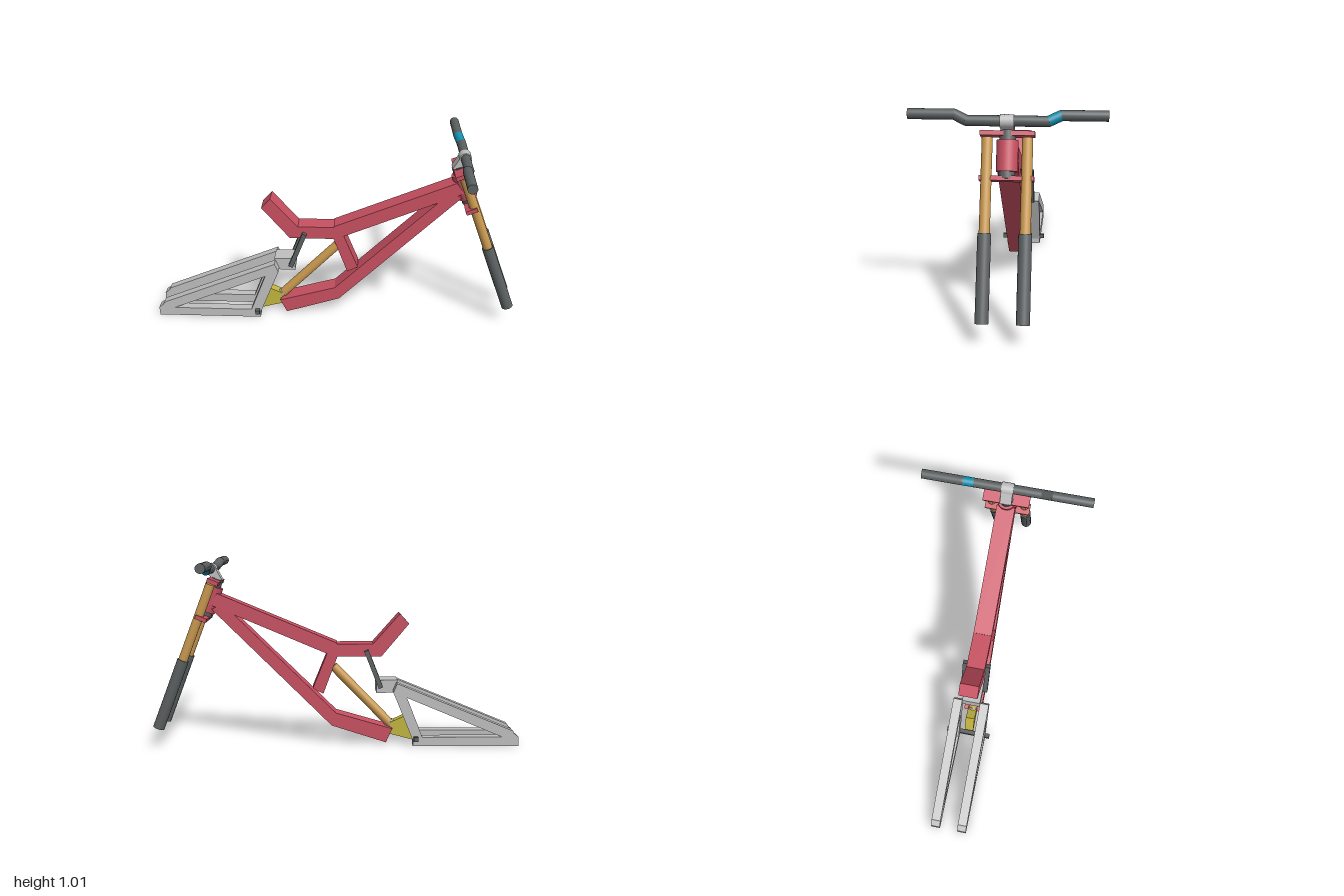
import * as THREE from 'three';

const paint = (name, color) => {
  const m = new THREE.MeshStandardMaterial({ color });
  m.name = name;
  return m;
};

export function createModel() {
  const bike = new THREE.Group();
  bike.name = 'bikeFrame';
  const red = paint('red', 0xc85061);
  const silver = paint('silver', 0xbfbfbf);
  const gold = paint('gold', 0xcb9a50);
  const dark = paint('darkGrey', 0x5b6060);
  const teal = paint('teal', 0x0a8caa);
  const yellow = paint('yellow', 0xc2b53f);

  const add = (name, geo, mat) => {
    const mesh = new THREE.Mesh(geo, mat);
    mesh.name = name;
    bike.add(mesh);
    return mesh;
  };

  // Side-view outline extruded across z, centred on zc
  const plate = (name, pts, width, mat, zc = 0) => {
    const shape = new THREE.Shape(pts.map(p => new THREE.Vector2(...p)));
    const geo = new THREE.ExtrudeGeometry(shape, { depth: width, bevelEnabled: false });
    geo.translate(0, 0, zc - width / 2);
    return add(name, geo, mat);
  };

  // Cylinder between two points
  const rod = (name, a, b, r, mat) => {
    const p = new THREE.Vector3(...a), q = new THREE.Vector3(...b);
    const mesh = add(name, new THREE.CylinderGeometry(r, r, p.distanceTo(q), 28), mat);
    mesh.position.copy(p).lerp(q, 0.5);
    mesh.quaternion.setFromUnitVectors(new THREE.Vector3(0, 1, 0), q.sub(p).normalize());
    return mesh;
  };

  // Main frame: square-section tubes
  plate('seatTail', [[-0.395, 0.67], [-0.345, 0.725], [-0.2, 0.56], [0, 0.56], [0.01, 0.49], [-0.245, 0.49]], 0.1, red);
  plate('topTube', [[-0.005, 0.565], [0.64, 0.835], [0.68, 0.775], [0.01, 0.49]], 0.1, red);
  plate('downTube', [[0, 0.175], [0.61, 0.78], [0.67, 0.75], [0.025, 0.105]], 0.1, red);
  plate('bottomTube', [[-0.31, 0.085], [0, 0.175], [0.025, 0.105], [-0.275, 0.008]], 0.1, red);
  plate('seatStrut', [[-0.01, 0.5], [0.045, 0.52], [0.128, 0.315], [0.07, 0.285]], 0.1, red);

  // Steering head, along the tilted axis
  rod('steerer', [0.645, 0.915, 0], [0.717, 0.707, 0], 0.037, dark);
  rod('headTube', [0.659, 0.872, 0], [0.708, 0.737, 0], 0.05, red);
  const tilt = Math.atan2(0.375, 0.927);
  for (const [name, x, y] of [['upperCrown', 0.652, 0.9], ['lowerCrown', 0.718, 0.707]]) {
    const crown = add(name, new THREE.BoxGeometry(0.062, 0.022, 0.25), red);
    crown.position.set(x, y, 0);
    crown.rotation.z = tilt;
  }

  // Paired parts on both sides
  for (const [side, s] of [['left', 1], ['right', -1]]) {
    const z = s * 0.092;
    rod(side + 'ForkTube', [0.667, 0.887, z], [0.825, 0.478, z], 0.025, gold);
    rod(side + 'ForkLower', [0.823, 0.481, z], [0.967, 0.107, z], 0.031, dark);

    const a = s * 0.075;
    plate(side + 'ChainStay', [[-1, 0], [-1, 0.05], [-0.42, 0.05], [-0.42, 0]], 0.05, silver, a);
    plate(side + 'Dropout', [[-1, 0.05], [-0.965, 0.078], [-0.93, 0.05]], 0.05, silver, a);
    plate(side + 'SeatStay', [[-0.985, 0.045], [-0.97, 0.083], [-0.33, 0.35], [-0.31, 0.302], [-0.945, 0.035]], 0.05, silver, a);
    plate(side + 'RearStrut', [[-0.475, 0.04], [-0.365, 0.32], [-0.31, 0.3], [-0.42, 0.03]], 0.05, silver, a);
    plate(side + 'Link', [[-0.255, 0.325], [-0.175, 0.53], [-0.152, 0.52], [-0.232, 0.315]], 0.025, dark, s * 0.0625);
  }

  // Rear suspension
  plate('yoke', [[-0.335, 0.29], [-0.335, 0.36], [-0.22, 0.36], [-0.22, 0.288]], 0.1, silver);
  add('pivotAxle', new THREE.BoxGeometry(0.024, 0.024, 0.25), dark).position.set(-0.435, 0.043, 0);
  plate('rockerBracket', [[-0.43, 0.015], [-0.375, 0.15], [-0.3, 0.115], [-0.3, 0.05]], 0.05, yellow);
  rod('shockMount', [-0.325, 0.085, 0], [-0.295, 0.115, 0], 0.024, silver);
  rod('shock', [-0.297, 0.107, 0], [0.015, 0.43, 0], 0.025, gold);

  // Handlebar with a rise on each side
  const path = [[0.66, 0.99, 0.455], [0.66, 0.99, 0.243], [0.675, 0.965, 0.186],
    [0.675, 0.965, -0.186], [0.66, 0.99, -0.243], [0.66, 0.99, -0.455]];
  const names = ['leftGrip', 'leftRise', 'barCentre', 'rightRise', 'rightGrip'];
  names.forEach((n, i) => {
    rod(n, path[i], path[i + 1], 0.025, n === 'rightRise' ? teal : dark);
    if (i) add('barJoint', new THREE.SphereGeometry(0.0249, 20, 12), dark).position.set(...path[i]);
  });

  // Stem and bar clamp
  plate('stem', [[0.612, 0.905], [0.65, 0.975], [0.695, 0.945], [0.655, 0.905]], 0.062, silver);
  rod('barClamp', [0.675, 0.963, -0.032], [0.675, 0.963, 0.032], 0.032, silver);

  return bike;
}
